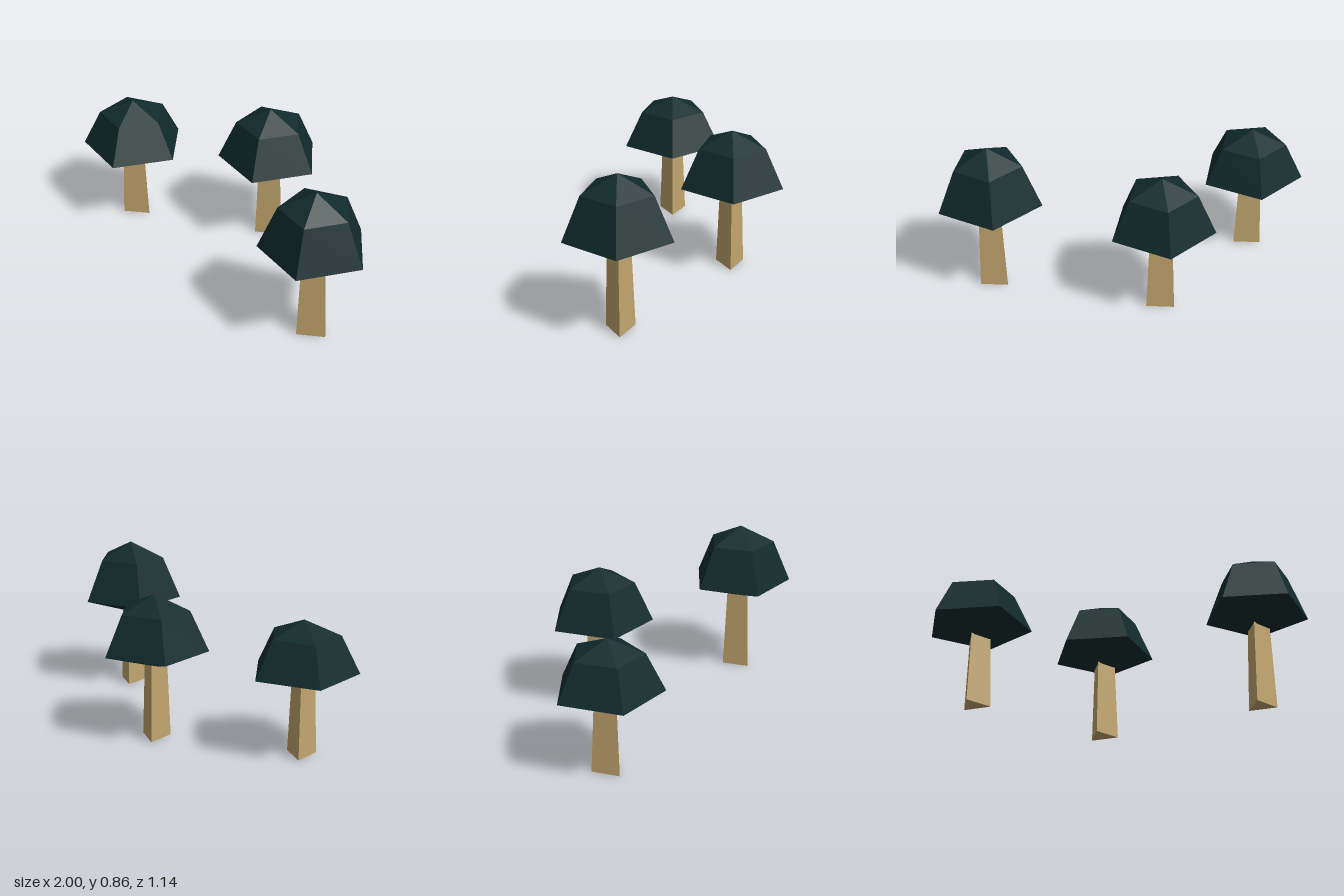
import * as THREE from 'three';

export function createModel() {
  const bark = new THREE.MeshStandardMaterial({ color: 0xc2a56d, flatShading: true });
  bark.name = 'tan bark';
  const leaves = new THREE.MeshStandardMaterial({ color: 0x112b2c, flatShading: true });
  leaves.name = 'dark teal leaves';

  // Three-sided tapering trunk, one edge facing +x, foot on the ground
  const trunkGeometry = new THREE.CylinderGeometry(0.07, 0.088, 0.458, 3, 1, false, Math.PI / 2);
  trunkGeometry.translate(0, 0.229, 0);

  // Five-sided domed crown with a shallow, closed underside
  const profile = [[0, 0.453], [0.066, 0.453], [0.29, 0.53], [0.19, 0.765], [0, 0.858]]
    .map(([r, y]) => new THREE.Vector2(r, y));
  const crownGeometry = new THREE.LatheGeometry(profile, 5, Math.PI / 2);

  function makeTree(name, x, z, height) {
    const tree = new THREE.Group();
    tree.name = name;
    const trunk = new THREE.Mesh(trunkGeometry, bark);
    trunk.name = 'trunk';
    const crown = new THREE.Mesh(crownGeometry, leaves);
    crown.name = 'crown';
    tree.add(trunk, crown);
    tree.position.set(x, 0, z);
    tree.scale.y = height;
    return tree;
  }

  // Same tree three times, differing only in height
  const model = new THREE.Group();
  model.name = 'treeCluster';
  model.add(
    makeTree('shortTree', -0.765, 0.027, 0.85),
    makeTree('middleTree', -0.03, -0.293, 0.925),
    makeTree('tallTree', 0.706, 0.295, 1)
  );
  return model;
}
